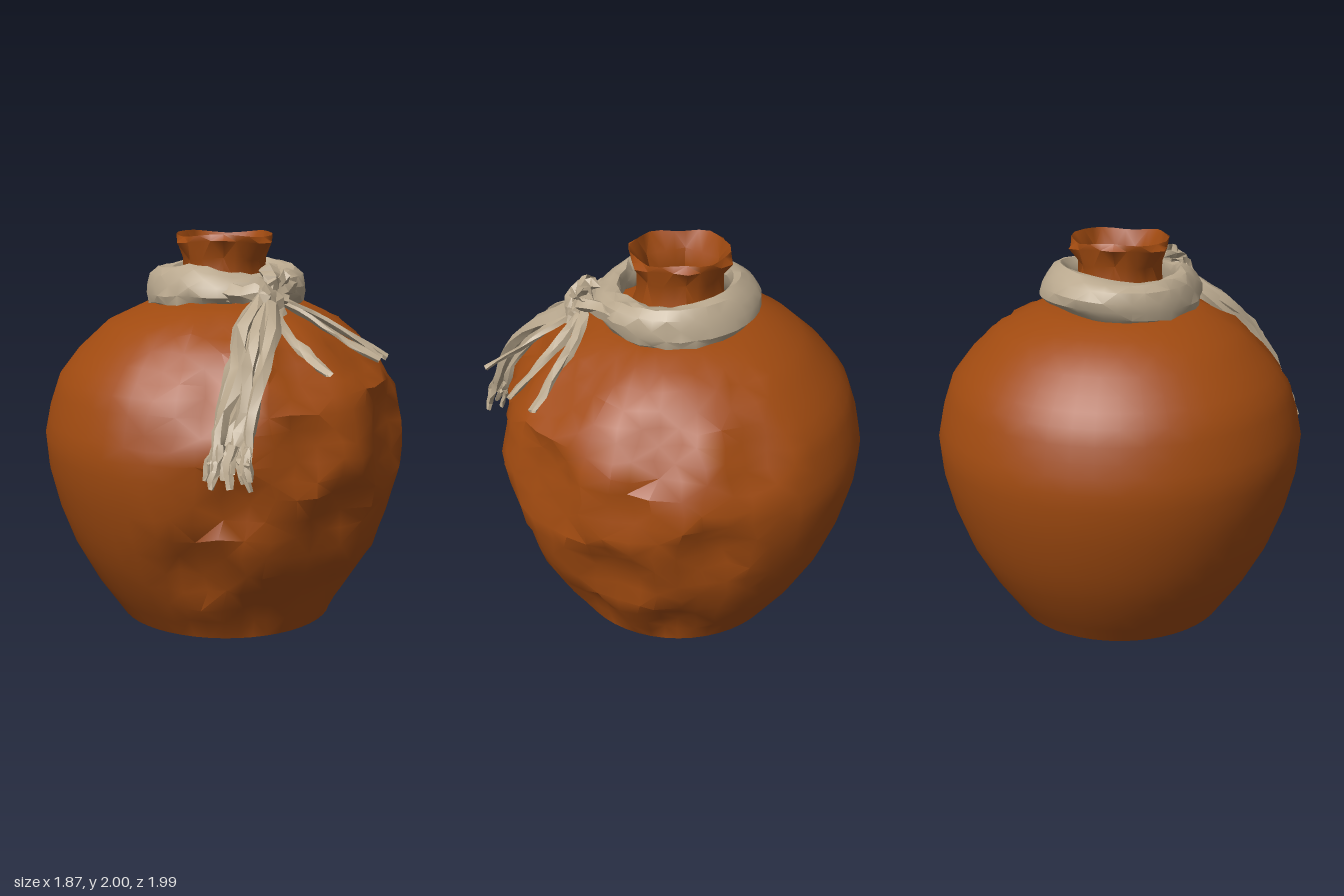
import * as THREE from 'three';
import { toCreasedNormals } from 'three/addons/utils/BufferGeometryUtils.js';

const clay = new THREE.MeshStandardMaterial({ color: 0xa04a10 });
const cloth = new THREE.MeshStandardMaterial({ color: 0xb8a78d, side: THREE.DoubleSide });
clay.name = 'burnt orange clay';
cloth.name = 'beige cloth';

function seeded(seed) {
  let s = seed;
  return () => {
    s = (s * 1664525 + 1013904223) % 4294967296;
    return s / 4294967296;
  };
}

// Skin over rows of closed cross-sections; point(i, j) returns [x, y, z]
function loft(name, rows, segs, point, material, crease) {
  const pos = [], index = [];
  for (let i = 0; i <= rows; i++) for (let j = 0; j < segs; j++) pos.push(...point(i, j));
  for (let i = 0; i < rows; i++) for (let j = 0; j < segs; j++) {
    const a = i * segs + j, b = i * segs + (j + 1) % segs;
    const c = b + segs, d = a + segs;
    if ((i + j) % 2) index.push(a, b, c, a, c, d);
    else index.push(a, b, d, b, c, d);
  }
  const g = new THREE.BufferGeometry();
  g.setAttribute('position', new THREE.Float32BufferAttribute(pos, 3));
  g.setIndex(index);
  const mesh = new THREE.Mesh(toCreasedNormals(g, crease), material);
  mesh.name = name;
  return mesh;
}

// Belly with hammered hollows on one side: [angle, height, size, depth]
function makeBelly() {
  const profile = [
    [0.56, 0], [0.7, 0.2], [0.81, 0.4], [0.885, 0.6], [0.935, 0.8], [0.95, 0.97],
    [0.92, 1.12], [0.87, 1.27], [0.77, 1.4], [0.62, 1.54], [0.42, 1.635], [0.27, 1.66],
  ];
  const hollows = [
    [1.34, 1.5, 0.28, 0.05], [1.43, 1.02, 0.3, 0.08], [0.72, 1.02, 0.24, 0.07],
    [0.95, 0.66, 0.25, 0.08], [1.85, 0.6, 0.28, 0.08], [2.13, 1.3, 0.22, 0.07],
    [1.0, 0.25, 0.24, 0.06], [2.2, 0.2, 0.22, 0.06], [2.4, 0.8, 0.24, 0.07],
    [0.75, 1.36, 0.2, 0.06], [0.1, 0.42, 0.24, 0.07], [0.2, 1.28, 0.2, 0.06],
    [0.35, 0.78, 0.22, 0.07], [2.65, 1.25, 0.2, 0.06], [1.55, 0.22, 0.2, 0.06],
    [0.5, 0.2, 0.2, 0.05], [1.95, 1.02, 0.18, 0.06],
  ];
  const segs = 48, rand = seeded(29);
  return loft('belly', (profile.length - 1) * 2, segs, (i, j) => {
    const [r0, y0] = profile[Math.floor(i / 2)], [r1, y1] = profile[Math.ceil(i / 2)];
    let r = (r0 + r1) / 2, y = (y0 + y1) / 2;
    let a = (j / segs) * Math.PI * 2;
    const off = Math.abs(Math.atan2(Math.sin(a - 1.35), Math.cos(a - 1.35)));
    const jitter = i > 0 && i < 20 && off < 1.5 ? 1 : 0;
    a += jitter * (rand() - 0.5) * 0.06;
    y += jitter * (rand() - 0.5) * 0.03;
    let depth = jitter * rand() * 0.02;
    for (const [ha, hy, size, deep] of hollows) {
      const da = Math.atan2(Math.sin(a - ha), Math.cos(a - ha));
      const d = Math.hypot(da * r, y - hy) / size;
      depth = Math.max(depth, deep * (1 - THREE.MathUtils.smoothstep(d, 0.35, 1.05)));
    }
    if (i > 0) r -= depth;
    return [r * Math.sin(a), y, r * Math.cos(a) - 0.05];
  }, clay, 0.7);
}

// Six-sided crumpled neck, flared rim and inner mouth
function makeNeck() {
  const profile = [
    [0.28, 1.64], [0.24, 1.76], [0.23, 1.87], [0.28, 1.96], [0.265, 1.99],
    [0.21, 1.9], [0.187, 1.82], [0.2, 1.67], [0, 1.63],
  ];
  const inside = 5, side = Math.PI / 3, segs = 24;
  return loft('neck', profile.length - 1, segs, (i, j) => {
    let [r, y] = profile[i];
    const a = (j / segs) * Math.PI * 2;
    const turn = i < inside ? 0.35 * (i % 2) + 0.4 : 0;
    r *= Math.cos(side / 2) / Math.cos((a + turn) % side - side / 2);
    if (i < inside) y += 0.01 * Math.sin(a * 3 + 1);
    return [r * Math.sin(a) - 0.01, y, r * Math.cos(a) - 0.05];
  }, clay, 0.9);
}

function makeBase() {
  const base = new THREE.Mesh(new THREE.CircleGeometry(0.56, 48), clay);
  base.name = 'base';
  base.rotation.x = Math.PI / 2;
  base.position.z = -0.05;
  return base;
}

// Cloth band wound round the neck, creased towards the knot
function makeCollar() {
  const n = 36, segs = 12, rand = seeded(3);
  const bumps = Array.from({ length: n * segs }, () => rand() - 0.5);
  return loft('neckScarf', n, segs, (i, j) => {
    const a = ((i % n) / n) * Math.PI * 2, b = (j / segs) * Math.PI * 2;
    const front = 0.5 + 0.5 * Math.cos(a - 0.6), nearKnot = front ** 8;
    const fold = 1 + 0.12 * Math.sin(3 * b + 2 * a) + 0.3 * front * bumps[(i % n) * segs + j];
    const h = -Math.sin(b) * fold * (0.095 - 0.025 * nearKnot);
    const r = 0.342 + 0.07 * Math.cos(b) * fold - 0.28 * h + 0.02 * nearKnot;
    const y = 1.748 + h - 0.015 * nearKnot + 0.012 * Math.sin(2 * a + 1);
    return [r * Math.sin(a), y, r * Math.cos(a) * 0.98 - 0.045];
  }, cloth, 0.6);
}

// Flat, crinkled strip of cloth following a path
function strip(name, path, width, thick, seed, steps, tip) {
  const curve = new THREE.CatmullRomCurve3(path.map((p) => new THREE.Vector3(...p)));
  const rand = seeded(seed), segs = 5;
  const side = new THREE.Vector3(), normal = new THREE.Vector3();
  const frames = [];
  for (let i = 0; i <= steps; i++) {
    const t = i / steps, tangent = curve.getTangent(t);
    side.set(0, 1, 0).cross(tangent);
    if (side.lengthSq() < 0.001) side.set(1, 0, 0);
    side.normalize().applyAxisAngle(tangent, Math.sin(t * 5 + seed) * 0.6);
    normal.crossVectors(tangent, side);
    frames.push([curve.getPoint(t), side.clone(), normal.clone(), 1 - (1 - tip) * t * t]);
  }
  return loft(name, steps, segs, (i, j) => {
    const [p, s, n, taper] = frames[i];
    const b = (j / segs) * Math.PI * 2, k = taper * (0.65 + rand() * 0.7);
    return p.clone()
      .addScaledVector(s, Math.cos(b) * width * k)
      .addScaledVector(n, Math.sin(b) * thick * k)
      .toArray();
  }, cloth, 0.5);
}

// Knot: crossing wraps of cloth, with two pulled in from the collar
function makeKnot() {
  const knot = new THREE.Group();
  knot.name = 'knot';
  const wraps = [
    [[0.02, 1.73, 0.32], [0.16, 1.72, 0.33], [0.3, 1.73, 0.34], [0.4, 1.69, 0.28]],
    [[0.36, 1.73, 0.04], [0.37, 1.74, 0.16], [0.35, 1.74, 0.3], [0.27, 1.68, 0.36]],
    [[0.31, 1.85, 0.25], [0.33, 1.78, 0.32], [0.31, 1.62, 0.4]],
    [[0.38, 1.8, 0.23], [0.33, 1.77, 0.32], [0.25, 1.64, 0.38]],
    [[0.25, 1.77, 0.28], [0.33, 1.74, 0.34], [0.39, 1.62, 0.33]],
  ];
  wraps.forEach((p, i) => knot.add(strip('knotWrap', p, 0.05, 0.042, 31 + i, 7, 0.7)));
  return knot;
}

// Long hanging tail with frayed ends
function makeTail() {
  const tail = new THREE.Group();
  tail.name = 'hangingTail';
  const rand = seeded(5);
  for (let i = 0; i < 6; i++) {
    const u = (i - 2.5) / 2.5, lift = (i % 2) * 0.06;
    const w = () => (rand() - 0.5) * 0.05;
    tail.add(strip('tailStrand', [
      [0.31 + u * 0.03, 1.7, 0.31 + lift * 0.5],
      [0.305 + u * 0.07 + w(), 1.56, 0.5 + lift],
      [0.31 + u * 0.08 + w(), 1.38, 0.67 + lift],
      [0.3 + u * 0.075 + w(), 1.18, 0.79 + lift],
      [0.295 + u * 0.08 + w(), 1.04, 0.86 + lift],
      [0.295 + u * 0.105, 0.94 + rand() * 0.08, 0.89 + lift],
    ], 0.045, 0.035, 50 + i, 11, 0.45));
    // frayed tip
    tail.add(strip('frayedTip', [
      [0.3 + u * 0.08, 1.1, 0.84 + lift],
      [0.29 + u * 0.1 + w(), 1.0, 0.88 + lift],
      [0.29 + u * 0.115, 0.9 + rand() * 0.05, 0.89 + lift + rand() * 0.03],
    ], 0.028, 0.018, 70 + i, 5, 0.6));
  }
  return tail;
}

// Thin loose ends sticking out to the side
function makeLooseEnds() {
  const ends = new THREE.Group();
  ends.name = 'looseEnds';
  const paths = [
    [[0.34, 1.72, 0.28], [0.48, 1.64, 0.2], [0.68, 1.53, 0.17], [0.88, 1.42, 0.14]],
    [[0.34, 1.71, 0.28], [0.5, 1.62, 0.27], [0.68, 1.52, 0.29], [0.87, 1.43, 0.3]],
    [[0.34, 1.68, 0.32], [0.43, 1.58, 0.44], [0.56, 1.48, 0.54], [0.69, 1.4, 0.64]],
  ];
  paths.forEach((p, i) => ends.add(strip('looseEnd', p, 0.029, 0.015, 90 + i, 8, 0.9)));
  return ends;
}

export function createModel() {
  const model = new THREE.Group();
  model.name = 'pot with knotted scarf';
  model.add(makeBelly(), makeNeck(), makeBase(), makeCollar());
  model.add(makeKnot(), makeTail(), makeLooseEnds());
  return model;
}
